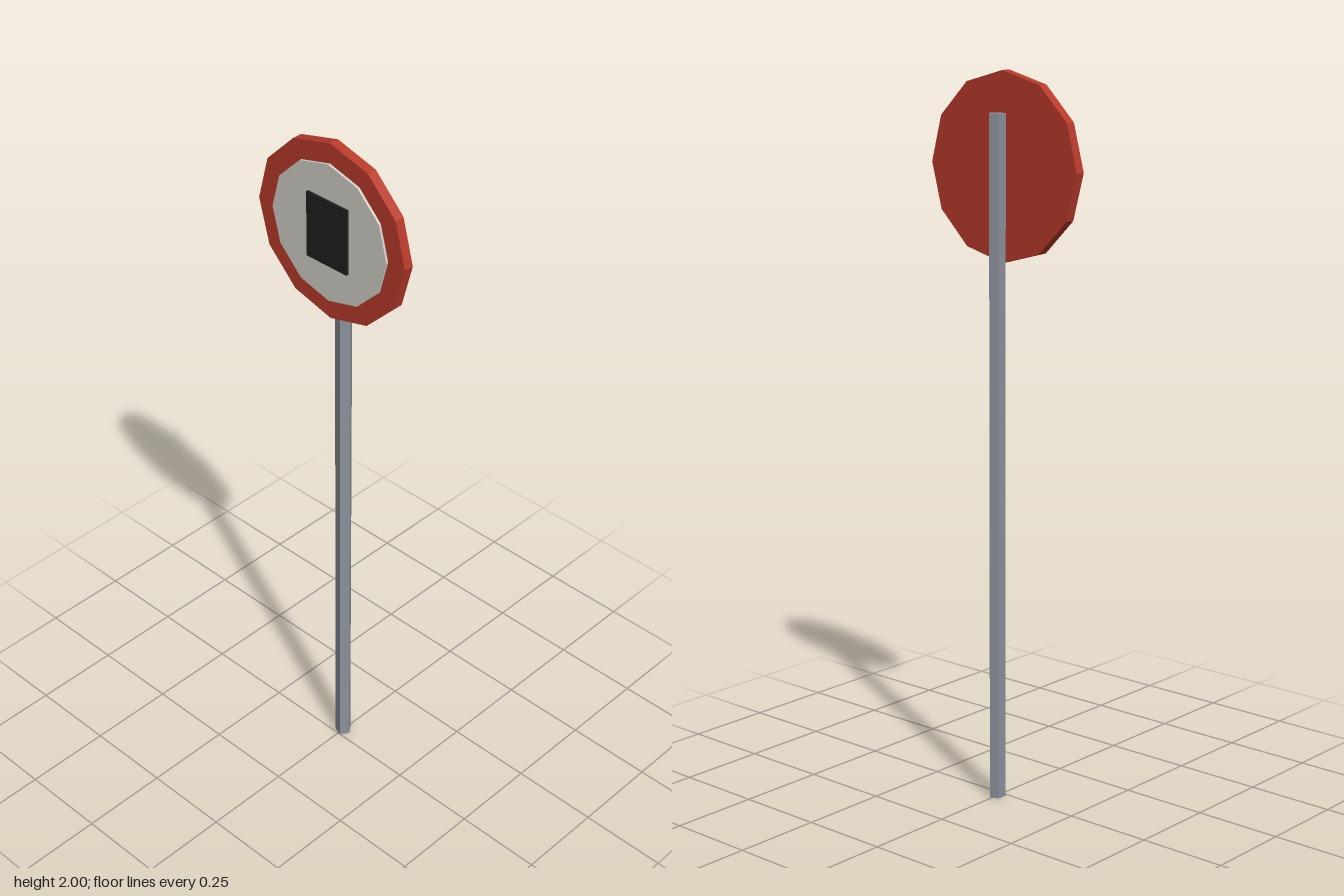
import * as THREE from 'three';

function material(name, color) {
  const m = new THREE.MeshStandardMaterial({ color, flatShading: true });
  m.name = name;
  return m;
}

const red = material('signal red', 0xb93a2b);
const white = material('off white', 0xd2cfc7);
const black = material('black', 0x202020);
const grey = material('steel grey', 0x8c919b);

const CENTRE_Y = 1.7475;

function addMesh(group, name, geometry, mat) {
  const mesh = new THREE.Mesh(geometry, mat);
  mesh.name = name;
  group.add(mesh);
}

// Twelve-sided disc facing +z, a corner at the top
function disc(radius, back, front) {
  return new THREE.CylinderGeometry(radius, radius, front - back, 12)
    .rotateX(Math.PI / 2)
    .translate(0, CENTRE_Y, (back + front) / 2);
}

export function createModel() {
  const model = new THREE.Group();
  model.name = 'roadSign';

  // Five-sided pole behind the sign, one corner towards +x
  const pole = new THREE.CylinderGeometry(0.0235, 0.0235, 1.89, 5, 1, false, Math.PI / 2)
    .translate(0, 0.945, -0.0224);
  addMesh(model, 'pole', pole, grey);

  // Layered sign: red rim and back, pale face, dark panel
  addMesh(model, 'signRim', disc(0.2525, 0, 0.028), red);
  addMesh(model, 'signFace', disc(0.197, 0.028, 0.035), white);
  const panel = new THREE.BoxGeometry(0.139, 0.186, 0.007).translate(0, 1.752, 0.0385);
  addMesh(model, 'signPanel', panel, black);

  return model;
}
